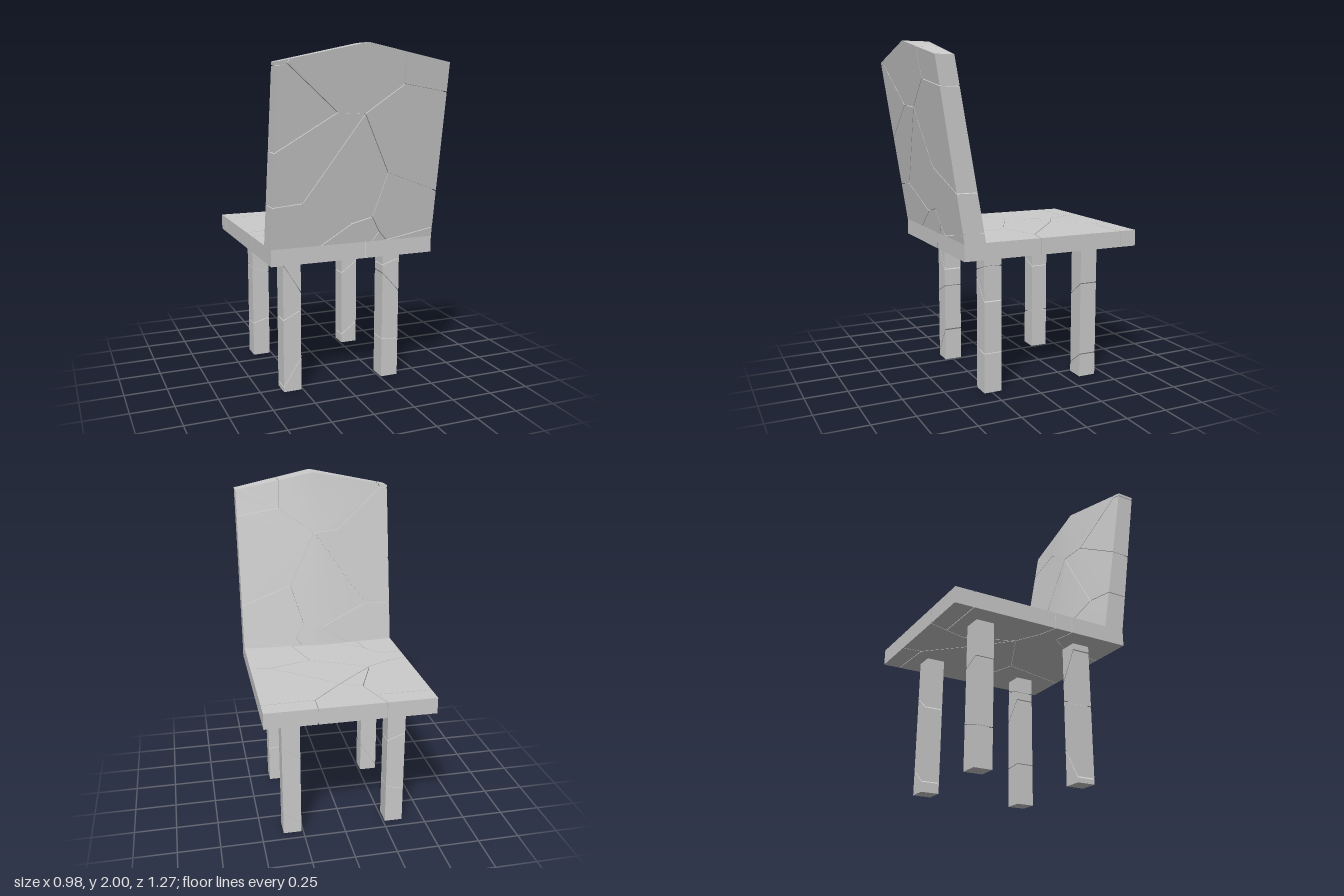
import * as THREE from 'three';
import { toCreasedNormals } from 'three/addons/utils/BufferGeometryUtils.js';

const material = new THREE.MeshStandardMaterial({ color: 0xcccccc });
const GAP = 0.002; // half the width of a crack
const W = 0.49, SEAT_LOW = 0.81, SEAT_TOP = 0.905, FRONT = 0.632;

// Moves every edge of a counter-clockwise polygon inwards by its own distance.
function inset(poly, dist) {
  const n = poly.length;
  const lines = poly.map((p, i) => {
    const q = poly[(i + 1) % n];
    const len = Math.hypot(q[0] - p[0], q[1] - p[1]);
    const nx = -(q[1] - p[1]) / len, ny = (q[0] - p[0]) / len;
    return [nx, ny, nx * p[0] + ny * p[1] + dist[i]];
  });
  return poly.map((p, i) => {
    const a = lines[(i + n - 1) % n], b = lines[i];
    const det = a[0] * b[1] - a[1] * b[0];
    if (Math.abs(det) < 1e-3) return [p[0] + b[0] * dist[i], p[1] + b[1] * dist[i]];
    return [(a[2] * b[1] - b[2] * a[1]) / det, (a[0] * b[2] - b[0] * a[2]) / det];
  });
}

// Keeps the part of a polygon on one side of u = 0.
function half(poly, side) {
  const out = [];
  poly.forEach((p, i) => {
    const q = poly[(i + 1) % poly.length];
    if (p[0] * side >= 0) out.push(p);
    if (p[0] * q[0] < 0) out.push([0, p[1] + (q[1] - p[1]) * p[0] / (p[0] - q[0])]);
  });
  return out;
}

// Closed block over a polygon, from depth t0 to t1, placed by map(u, v, t).
function block(poly, map, t0, t1, fold) {
  const pos = [];
  const tri = (...pts) => pts.forEach((p) => pos.push(...map(...p)));
  for (const part of fold ? [half(poly, -1), half(poly, 1)] : [poly]) {
    if (part.length < 3) continue;
    const contour = part.map((p) => new THREE.Vector2(...p));
    for (const [a, b, c] of THREE.ShapeUtils.triangulateShape(contour, [])) {
      tri([...part[a], t1], [...part[b], t1], [...part[c], t1]);
      tri([...part[c], t0], [...part[b], t0], [...part[a], t0]);
    }
    part.forEach((p, i) => {
      const q = part[(i + 1) % part.length];
      if (fold && Math.abs(p[0]) < 1e-9 && Math.abs(q[0]) < 1e-9) return; // open where halves meet
      tri([...p, t0], [...q, t0], [...q, t1]);
      tri([...p, t0], [...q, t1], [...p, t1]);
    });
  }
  const geo = new THREE.BufferGeometry();
  geo.setAttribute('position', new THREE.Float32BufferAttribute(pos, 3));
  return toCreasedNormals(geo, fold ? 0.5 : 0.1);
}

// A cracked slab: cells share nodes, a narrow gap opens along shared edges,
// and a smaller core closes the view through the gaps.
function crackedSlab(name, nodes, cells, outline, map, fold = false) {
  const group = new THREE.Group();
  group.name = name;
  const add = (label, geo) => {
    const mesh = new THREE.Mesh(geo, material);
    mesh.name = label;
    group.add(mesh);
  };
  const rings = [...cells, outline].map((text) => {
    const ids = text.split(' ');
    const pts = ids.map((id) => new THREE.Vector2(...nodes[id]));
    return THREE.ShapeUtils.area(pts) < 0 ? ids.reverse() : ids;
  });
  const core = rings.pop().map((id) => nodes[id]);
  const uses = {};
  const key = (ids, i) => [ids[i], ids[(i + 1) % ids.length]].sort().join();
  for (const ids of rings) ids.forEach((_, i) => { uses[key(ids, i)] = (uses[key(ids, i)] || 0) + 1; });
  for (const ids of rings) {
    const dist = ids.map((_, i) => (uses[key(ids, i)] > 1 ? GAP : 0));
    add(name + 'Piece', block(inset(ids.map((id) => nodes[id]), dist), map, 0, 1, fold));
  }
  add(name + 'Core', block(inset(core, core.map(() => 0.015)), map, 0.15, 0.85, fold));
  return group;
}

// Seat, drawn from above as [x, -z]
function makeSeat() {
  const nodes = {
    fl: [-W, FRONT], f1: [-0.2, FRONT], f2: [0.19, FRONT], fr: [W, FRONT],
    l1: [-W, 0.52], l2: [-W, 0.01], l3: [-W, -0.1], bl: [-W, -0.463],
    r1: [W, 0.53], r2: [W, 0], br: [W, -0.463],
    b1: [-0.22, -0.463], b2: [0.07, -0.463], b3: [0.22, -0.463],
    A: [-0.16, 0.52], B: [-0.12, 0.39], C: [0, 0.33], D: [0.185, 0.52], E: [-0.23, 0.115],
    F: [0.37, 0.02], G: [0.11, -0.055], H: [-0.38, 0.04], I: [-0.36, -0.08], J: [-0.28, -0.19],
  };
  const cells = [
    'fl f1 A l1', 'f1 f2 D C B A', 'f2 fr r1 D', 'l1 A B E H l2', 'B C E', 'C D r1 r2 F',
    'E C F G', 'l2 H E G b3 b2 J I l3', 'G F r2 br b3', 'l3 I J b1 bl', 'J b2 b1',
  ];
  return crackedSlab('seat', nodes, cells, 'fl fr br bl',
    (u, v, t) => [u, SEAT_LOW + (SEAT_TOP - SEAT_LOW) * t, -v]);
}

// Leaning backrest, drawn as [x, y]: flat behind, ridged in front, peaked on top
function makeBackrest() {
  const nodes = {
    bl: [-W, SEAT_TOP], b1: [-0.2, SEAT_TOP], b2: [0.11, SEAT_TOP], b3: [0.2, SEAT_TOP], br: [W, SEAT_TOP],
    l1: [-W, 1.14], l2: [-W, 1.435], l3: [-W, 1.88], tl: [-W, 1.9], t1: [-0.43, 1.912],
    top: [0, 2], t2: [0.22, 1.955], tr: [W, 1.9], r1: [W, 0.96], r2: [W, 1.18], r3: [W, 1.74],
    O: [-0.44, 1.89], P: [-0.15, 1.64], Q: [0.01, 1.63], R: [0.23, 1.785], S: [0.175, 1.3],
    T: [-0.32, 1.155], U: [-0.02, 1.02], V: [0.1, 1.05], X: [0.15, 0.96],
  };
  const cells = [
    'l3 O t1 tl', 'O P Q R t2 top t1', 'R r3 tr t2', 'l2 P O l3', 'l1 T Q P l2', 'T U V S Q',
    'Q S r2 r3 R', 'bl b1 U T l1', 'b1 b2 X V U', 'b2 b3 X', 'b3 r1 r2 S V X', 'b3 br r1',
  ];
  return crackedSlab('backrest', nodes, cells, 'bl br tr top tl', (x, y, t) => {
    const rise = y - SEAT_TOP, out = Math.abs(x) / W;
    const front = 0.302 + 0.036 * out + (0.158 + 0.016 * out) * rise;
    const back = 0.463 + 0.156 * rise;
    return [x, y, front + (back - front) * t];
  }, true);
}

// Square leg cut by slanted cracks, each given as [height at -x side, height at +x side]
function makeLeg(name, x, z, cuts) {
  const nodes = {}, cells = [];
  const levels = [[0, 0], ...cuts, [SEAT_LOW, SEAT_LOW]];
  levels.forEach(([a, b], i) => {
    nodes['l' + i] = [x - 0.054, a];
    nodes['r' + i] = [x + 0.054, b];
    if (i) cells.push(`l${i - 1} r${i - 1} r${i} l${i}`);
  });
  const n = cuts.length + 1;
  return crackedSlab(name, nodes, cells, `l0 r0 r${n} l${n}`,
    (u, v, t) => [u, v, z - 0.054 + 0.108 * t]);
}

export function createModel() {
  const chair = new THREE.Group();
  chair.name = 'crackedChair';
  chair.add(
    makeSeat(),
    makeBackrest(),
    makeLeg('backRightLeg', -0.315, 0.243, [[0.03, 0.2], [0.44, 0.49], [0.77, 0.6]]),
    makeLeg('backLeftLeg', 0.315, 0.243, [[0.245, 0.235], [0.66, 0.54], [0.71, 0.745]]),
    makeLeg('frontRightLeg', -0.315, -0.387, [[0.22, 0.25], [0.6, 0.56]]),
    makeLeg('frontLeftLeg', 0.315, -0.387, [[0.06, 0.14], [0.5, 0.58]]),
  );
  return chair;
}
